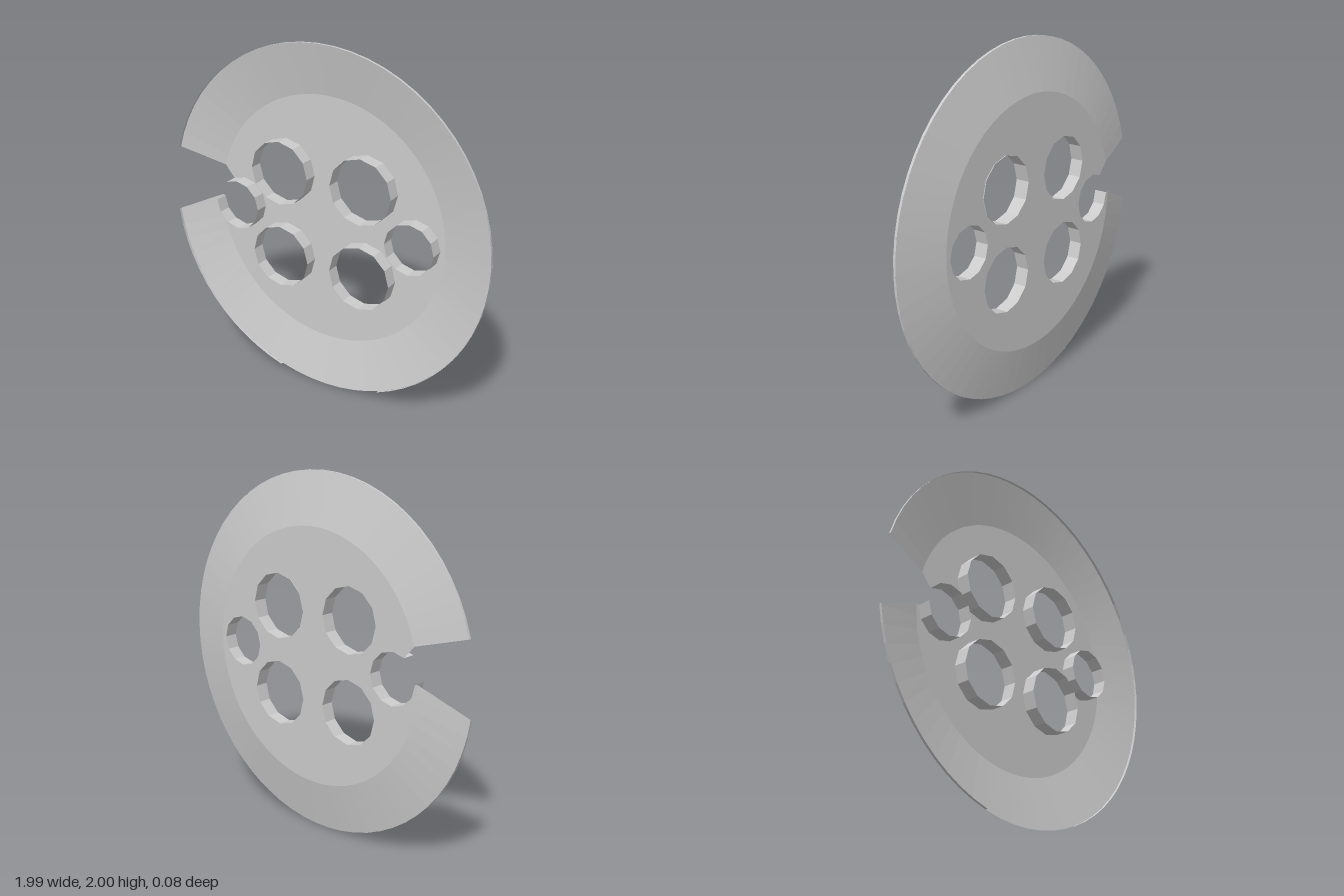
import * as THREE from 'three';

const RIM = 1, FLAT = 0.715;                              // outer radius, flat centre radius
const Z_BACK = -0.036, Z_RIM = 0.025, Z_FRONT = 0.04;
const rad = THREE.MathUtils.degToRad;

const material = new THREE.MeshStandardMaterial({
  color: 0xcccccc, flatShading: true, side: THREE.DoubleSide,
});

// Points of an arc, angles in degrees
function arc(cx, cy, r, from, to, steps) {
  return Array.from({ length: steps + 1 }, (_, i) => {
    const a = rad(from + (to - from) * i / steps);
    return new THREE.Vector2(cx + r * Math.cos(a), cy + r * Math.sin(a));
  });
}

// Band of quads joining two matching point rows, each at its own depth
function band(name, rowA, zA, rowB, zB) {
  const positions = [], index = [];
  rowA.forEach((p, i) => {
    positions.push(p.x, p.y, zA, rowB[i].x, rowB[i].y, zB);
    if (i) {
      const k = 2 * i;
      index.push(k - 2, k, k - 1, k, k + 1, k - 1);
    }
  });
  const geometry = new THREE.BufferGeometry();
  geometry.setAttribute('position', new THREE.Float32BufferAttribute(positions, 3));
  geometry.setIndex(index);
  geometry.computeVertexNormals();
  const mesh = new THREE.Mesh(geometry, material);
  mesh.name = name;
  return mesh;
}

export function createModel() {
  const group = new THREE.Group();
  group.name = 'buttonDisc';
  group.position.y = 1;

  // Hole outlines; the side slot breaks into the last one
  const holes = [
    { x: -0.261, y: 0.253, r: 0.182 },
    { x: 0.248, y: 0.253, r: 0.185, back: -0.04 },
    { x: -0.261, y: -0.248, r: 0.182 },
    { x: 0.248, y: -0.248, r: 0.185 },
    { x: 0.544, y: 0, r: 0.144 },
  ].map(h => ({ ...h, outline: arc(h.x, h.y, h.r, 0, 360, 12) }));
  const slotHole = arc(-0.555, 0, 0.144, 120, -180, 10);

  // Flat centre, open at the slot
  const inner = arc(0, 0, FLAT, 179.6, 524.2, 60);
  const shape = new THREE.Shape([...inner, ...slotHole]);
  holes.forEach(h => shape.holes.push(new THREE.Path(h.outline)));
  const centre = new THREE.Mesh(new THREE.ShapeGeometry(shape), material);
  centre.name = 'centreWeb';
  centre.position.z = Z_BACK;
  group.add(centre);

  // Sloping outer ring
  group.add(band('slopedRing', inner, Z_BACK, arc(0, 0, RIM, 187.2, 524.4, 60), Z_RIM));

  // Thin lip around the rim, with a gap at the bottom
  [[187.2, 254.3, 12], [292.3, 524.4, 41]].forEach(([from, to, steps]) => {
    const edge = arc(0, 0, RIM, from, to, steps);
    group.add(band('rimLip', edge, Z_RIM, edge, Z_FRONT));
  });

  // Collars around the holes
  holes.forEach(h => group.add(
    band('holeCollar', h.outline, h.back ?? Z_BACK, h.outline, Z_FRONT)));
  group.add(band('slotCollar', slotHole, Z_BACK, slotHole, Z_FRONT));

  return group;
}
